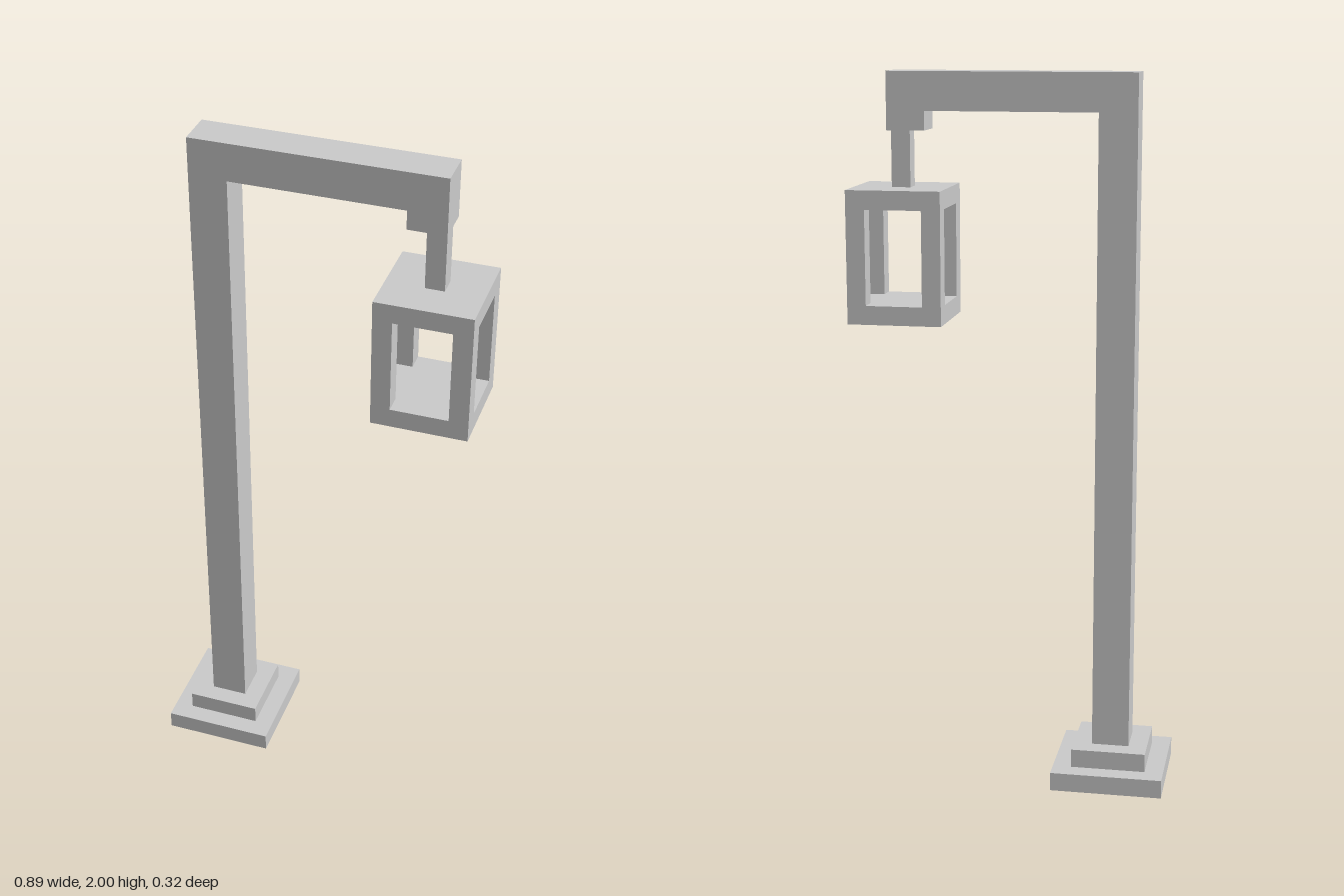
import * as THREE from 'three';

// The lamp is laid out on a grid of 38 cells in height.
const U = 2 / 38;

export function createModel() {
  const model = new THREE.Group();
  model.name = 'lampPost';
  const material = new THREE.MeshStandardMaterial({ color: 0xcccccc, flatShading: true });

  // Box between two corners given in grid cells
  const block = (parent, name, [x0, y0, z0], [x1, y1, z1]) => {
    const geometry = new THREE.BoxGeometry((x1 - x0) * U, (y1 - y0) * U, (z1 - z0) * U);
    const mesh = new THREE.Mesh(geometry, material);
    mesh.position.set((x0 + x1) / 2, (y0 + y1) / 2, (z0 + z1) / 2).multiplyScalar(U);
    mesh.name = name;
    parent.add(mesh);
  };

  // Stepped foot and post
  block(model, 'footSlab', [-8.5, 0, -3], [-2.5, 1, 3]);
  block(model, 'footStep', [-7.5, 1, -2], [-3.5, 2, 2]);
  block(model, 'post', [-6.5, 2, -1], [-4.5, 36, 1]);

  // Arm with its end bracket and hanger
  block(model, 'arm', [-6.5, 36, -1], [6.5, 38, 1]);
  block(model, 'armBracket', [4.5, 35, -1], [6.5, 36, 1]);
  block(model, 'hanger', [5.5, 32, 0], [6.5, 35, 1]);

  // Open lantern, centred under the hanger
  const lantern = new THREE.Group();
  lantern.name = 'lantern';
  model.add(lantern);
  block(lantern, 'lanternTop', [3.5, 31, -2], [8.5, 32, 3]);
  block(lantern, 'lanternBottom', [3.5, 25, -2], [8.5, 26, 3]);
  for (const x of [3.5, 7.5]) {
    for (const z of [-2, 2]) {
      block(lantern, 'lanternCornerBar', [x, 26, z], [x + 1, 31, z + 1]);
    }
  }

  return model;
}
